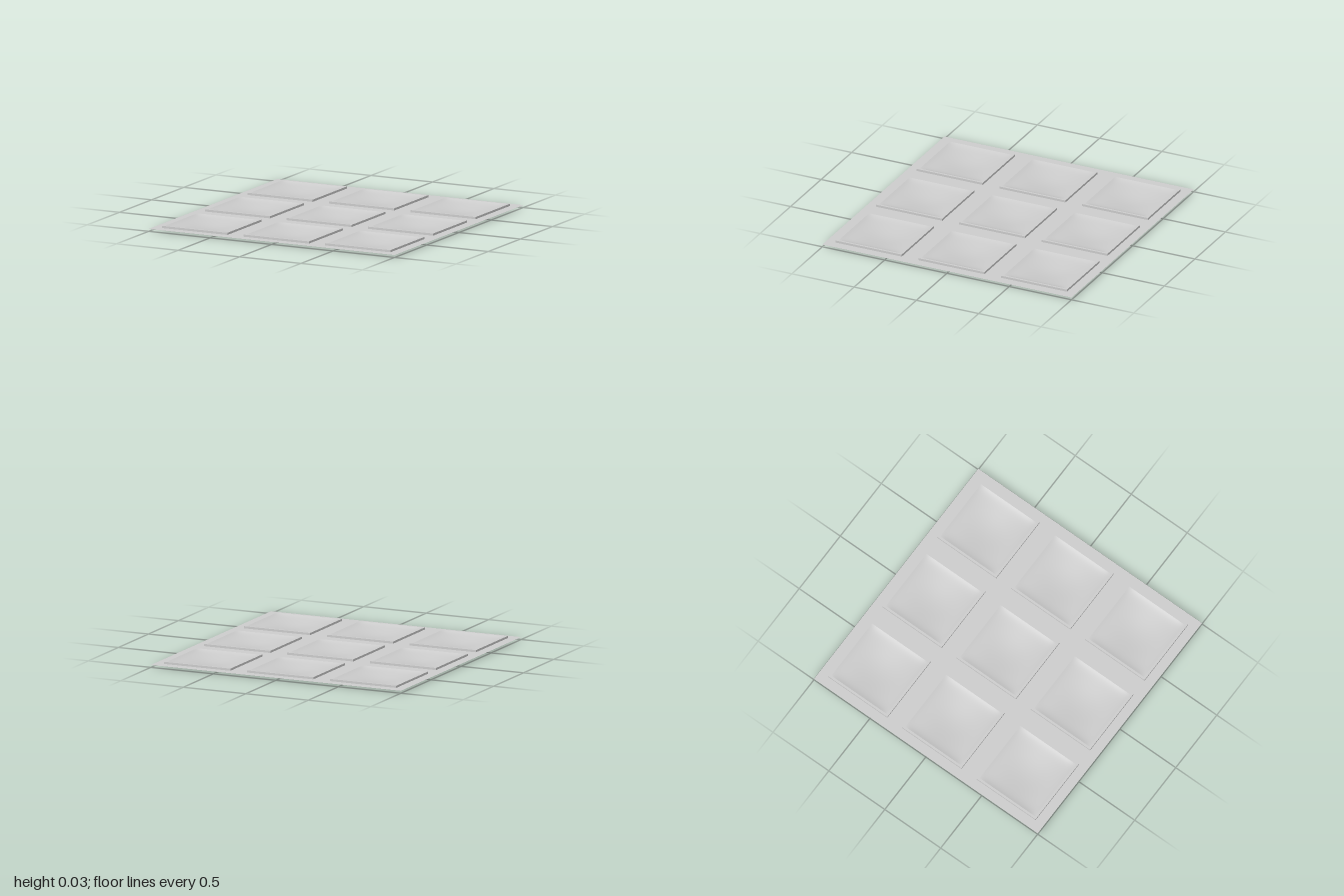
import * as THREE from 'three';

const SHEET_Y = 0.018, RIM_Y = 0.034;
const OUTER = 0.265, INNER = 0.248, PITCH = 0.663;
const CENTRES = [-PITCH, 0, PITCH];

const smooth = new THREE.MeshStandardMaterial({ color: 0xcccccc, side: THREE.DoubleSide });
const flat = new THREE.MeshStandardMaterial({ color: 0xcccccc, side: THREE.DoubleSide, flatShading: true });

function squarePath(target, cx, cy, half) {
  target.moveTo(cx - half, cy - half);
  target.lineTo(cx + half, cy - half);
  target.lineTo(cx + half, cy + half);
  target.lineTo(cx - half, cy + half);
  target.closePath();
  return target;
}

// Thin flat sheet with nine square openings
function sheetGeometry() {
  const shape = squarePath(new THREE.Shape(), 0, 0, 1);
  for (const x of CENTRES) for (const z of CENTRES) {
    shape.holes.push(squarePath(new THREE.Path(), x, z, OUTER));
  }
  return new THREE.ShapeGeometry(shape).rotateX(-Math.PI / 2).translate(0, SHEET_Y, 0);
}

// Sagging panel: drops quickly at the edge, then gently to the middle
function panelGeometry() {
  const geo = new THREE.PlaneGeometry(2 * INNER, 2 * INNER, 36, 36).rotateX(-Math.PI / 2);
  const p = geo.attributes.position;
  const edge = (u) => 1 - Math.pow(Math.abs(u), 8);
  const sag = (u) => (1 - u * u) ** 2;
  for (let i = 0; i < p.count; i++) {
    const u = p.getX(i) / INNER, v = p.getZ(i) / INNER;
    p.setY(i, RIM_Y - 0.013 * edge(u) * edge(v) - 0.021 * sag(u) * sag(v));
  }
  geo.computeVertexNormals();
  return geo;
}

export function createModel() {
  const root = new THREE.Group();
  root.name = 'coffered panel';

  const add = (parent, name, geometry, material) => {
    const mesh = new THREE.Mesh(geometry, material);
    mesh.name = name;
    parent.add(mesh);
  };

  add(root, 'sheet', sheetGeometry(), flat);

  // Raised square rim: upright wall and narrow flat top
  const k = Math.SQRT2;
  const wall = new THREE.CylinderGeometry(OUTER * k, OUTER * k, RIM_Y - SHEET_Y, 4, 1, true)
    .rotateY(Math.PI / 4).translate(0, (RIM_Y + SHEET_Y) / 2, 0);
  const rim = new THREE.RingGeometry(INNER * k, OUTER * k, 4, 1, Math.PI / 4)
    .rotateX(-Math.PI / 2).translate(0, RIM_Y, 0);
  const panel = panelGeometry();

  for (const x of CENTRES) for (const z of CENTRES) {
    const cell = new THREE.Group();
    cell.name = 'cell';
    cell.position.set(x, 0, z);
    add(cell, 'rimWall', wall, flat);
    add(cell, 'rimTop', rim, flat);
    add(cell, 'saggingPanel', panel, smooth);
    root.add(cell);
  }
  return root;
}
